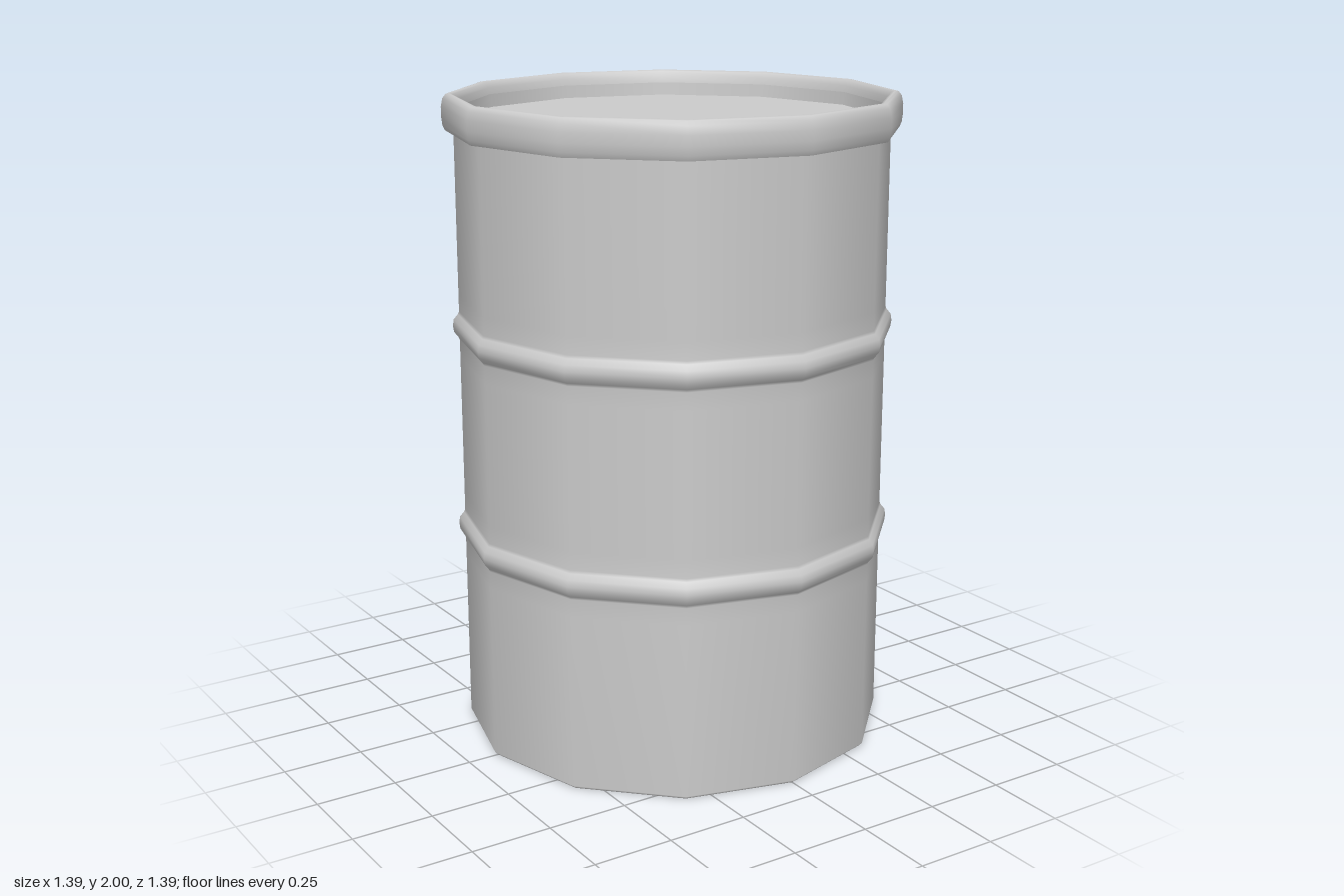
import * as THREE from 'three';

const SIDES = 12;

export function createModel() {
  const drum = new THREE.Group();
  drum.name = 'drum';
  const material = new THREE.MeshStandardMaterial({ color: 0xcccccc });

  // Revolve a [radius, height] profile; profiles running upward face outward
  const ring = (name, profile) => {
    const points = profile.map(([r, y]) => new THREE.Vector2(r, y));
    const mesh = new THREE.Mesh(new THREE.LatheGeometry(points, SIDES), material);
    mesh.name = name;
    drum.add(mesh);
  };

  // Flat twelve-sided plate, facing up or down
  const plate = (name, radius, y, up) => {
    const mesh = new THREE.Mesh(new THREE.CircleGeometry(radius, SIDES), material);
    mesh.name = name;
    mesh.rotation.x = up ? -Math.PI / 2 : Math.PI / 2;
    mesh.position.y = y;
    drum.add(mesh);
  };

  // Side wall with two rolled hoops
  const wall = [[0.65, 0], [0.66, 0.01]];
  for (const y of [0.65, 1.29]) {
    wall.push([0.66, y - 0.1], [0.66, y - 0.045], [0.664, y - 0.036], [0.677, y - 0.02],
      [0.68, y], [0.677, y + 0.02], [0.664, y + 0.036], [0.66, y + 0.045], [0.66, y + 0.1]);
  }
  wall.push([0.66, 1.895]);
  ring('wall', wall);

  // Rounded top rim, its flat underside and inner wall
  ring('rimUnderside', [[0.655, 1.89], [0.685, 1.89]]);
  ring('rim', [[0.685, 1.89], [0.692, 1.905], [0.695, 1.93], [0.695, 1.96],
    [0.69, 1.985], [0.68, 1.998], [0.67, 2], [0.66, 1.996], [0.652, 1.98], [0.648, 1.96]]);
  ring('rimInnerWall', [[0.648, 1.96], [0.645, 1.92]]);
  plate('lid', 0.645, 1.92, true);

  // Recessed base with its lip
  ring('baseLip', [[0.637, 0], [0.65, 0]]);
  ring('baseInnerWall', [[0.637, 0.065], [0.637, 0]]);
  plate('base', 0.637, 0.065, false);

  return drum;
}
